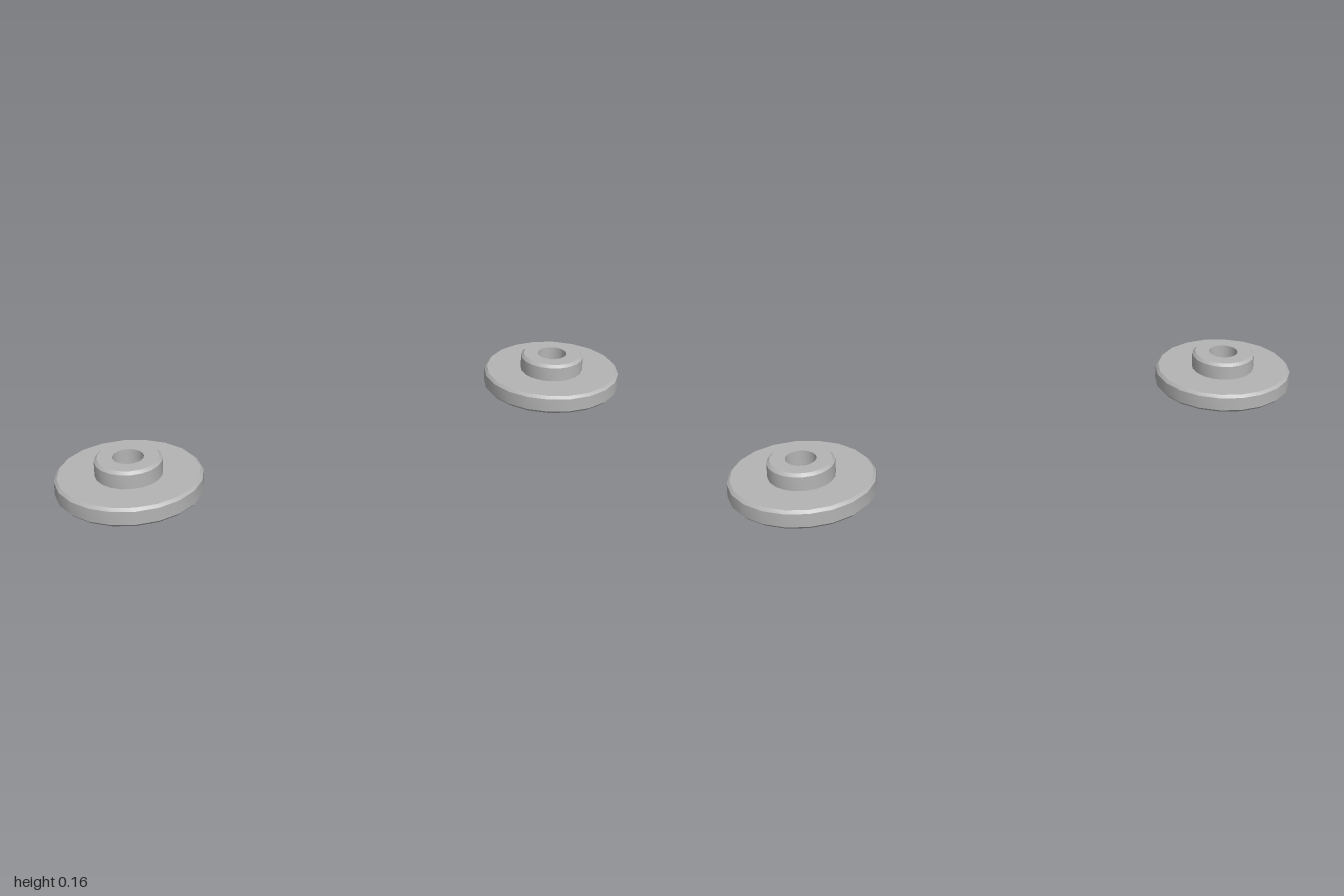
import * as THREE from 'three';
import { toCreasedNormals } from 'three/addons/utils/BufferGeometryUtils.js';

const SIDES = 20;
const CENTRE_X = 0.773;
const HOLE = 0.048, HUB = 0.104, FLANGE = 0.227;
const TOP = 0.155, FLANGE_LOW = 0.037, FLANGE_HIGH = 0.099;
const BEVEL = 0.009;

// closed profile of a bored hub with a wide flange, all outer rims bevelled
function bushingGeometry() {
  const profile = [
    [HOLE, 0],
    [HUB - BEVEL, 0],
    [HUB, BEVEL],
    [HUB, FLANGE_LOW],
    [FLANGE - BEVEL, FLANGE_LOW],
    [FLANGE, FLANGE_LOW + BEVEL],
    [FLANGE, FLANGE_HIGH - BEVEL],
    [FLANGE - BEVEL, FLANGE_HIGH],
    [HUB, FLANGE_HIGH],
    [HUB, TOP - BEVEL],
    [HUB - BEVEL, TOP],
    [HOLE, TOP],
    [HOLE, 0],
  ].map(([r, y]) => new THREE.Vector2(r, y));
  return toCreasedNormals(new THREE.LatheGeometry(profile, SIDES), 0.6);
}

export function createModel() {
  const model = new THREE.Group();
  model.name = 'flangedBushings';

  const grey = new THREE.MeshStandardMaterial({ color: 0xb4b4b4 });
  grey.name = 'grey';

  // matching pair, one on each side
  const geometry = bushingGeometry();
  for (const side of [-1, 1]) {
    const bushing = new THREE.Mesh(geometry, grey);
    bushing.name = side > 0 ? 'leftBushing' : 'rightBushing';
    bushing.position.x = side * CENTRE_X;
    model.add(bushing);
  }
  return model;
}
